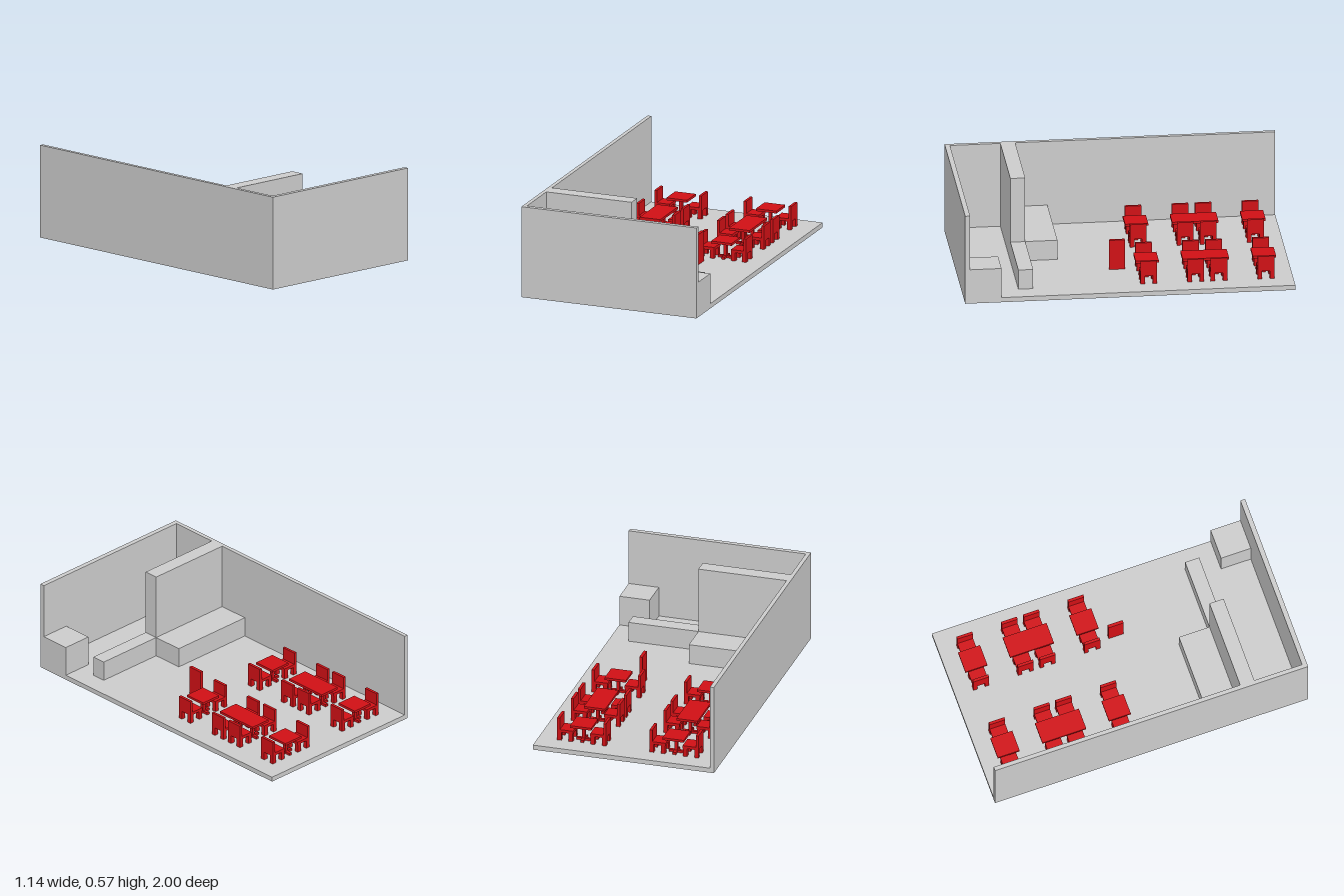
import * as THREE from 'three';

const grey = new THREE.MeshStandardMaterial({ color: 0xcccccc, flatShading: true });
const red = new THREE.MeshStandardMaterial({ color: 0xd01015, flatShading: true });

// Box given by its minimum and maximum along each axis
function block(parent, name, [x0, x1], [y0, y1], [z0, z1], material) {
  const mesh = new THREE.Mesh(new THREE.BoxGeometry(x1 - x0, y1 - y0, z1 - z0), material);
  mesh.position.set((x0 + x1) / 2, (y0 + y1) / 2, (z0 + z1) / 2);
  mesh.name = name;
  parent.add(mesh);
}

// Square table on a central column with crossed feet
function createTable() {
  const table = new THREE.Group();
  table.name = 'table';
  block(table, 'tableTop', [-0.067, 0.067], [0.1, 0.115], [-0.07, 0.07], red);
  block(table, 'tableColumn', [-0.01, 0.01], [0, 0.1], [-0.01, 0.01], red);
  block(table, 'tableFootAcross', [-0.045, 0.045], [0, 0.015], [-0.01, 0.01], red);
  block(table, 'tableFootAlong', [-0.01, 0.01], [0, 0.015], [-0.045, 0.045], red);
  return table;
}

// Chair with its back on +x, facing -x
function createChair() {
  const chair = new THREE.Group();
  chair.name = 'chair';
  block(chair, 'seat', [-0.05, 0.05], [0.052, 0.07], [-0.05, 0.05], red);
  block(chair, 'chairBack', [0.033, 0.05], [0.07, 0.147], [-0.05, 0.05], red);
  for (const x of [-0.035, 0.037])
    for (const z of [-0.037, 0.037])
      block(chair, 'chairLeg', [x - 0.013, x + 0.013], [0, 0.052], [z - 0.013, z + 0.013], red);
  return chair;
}

export function createModel() {
  const model = new THREE.Group();
  model.name = 'diningRoom';

  // Floor and walls
  block(model, 'floor', [-0.57, 0.57], [0, 0.03], [-1, 1], grey);
  block(model, 'sideWall', [-0.57, -0.545], [0.03, 0.57], [-1, 1], grey);
  block(model, 'frontWall', [-0.545, 0.57], [0.03, 0.57], [0.97, 1], grey);

  // Partition, counters and corner cabinet
  block(model, 'partition', [-0.545, 0.01], [0.03, 0.57], [0.575, 0.665], grey);
  block(model, 'barCounter', [0.01, 0.45], [0.03, 0.155], [0.575, 0.665], grey);
  block(model, 'lowCounter', [-0.545, 0.01], [0.03, 0.155], [0.38, 0.575], grey);
  block(model, 'cornerCabinet', [0.38, 0.57], [0.03, 0.22], [0.78, 0.97], grey);

  // Standing board
  block(model, 'standingBoard', [0.185, 0.204], [0.03, 0.22], [-0.007, 0.088], red);

  // Two rows of tables, each with a chair on both sides
  for (const x of [-0.284, 0.298]) {
    for (const z of [-0.84, -0.555, -0.415, -0.13]) {
      const set = new THREE.Group();
      set.name = 'tableSet';
      set.position.set(x, 0.03, z + 0.005);
      set.add(createTable());
      for (const side of [1, -1]) {
        const chair = createChair();
        chair.position.x = side * 0.104;
        chair.rotation.y = side > 0 ? 0 : Math.PI;
        set.add(chair);
      }
      model.add(set);
    }
  }
  return model;
}
